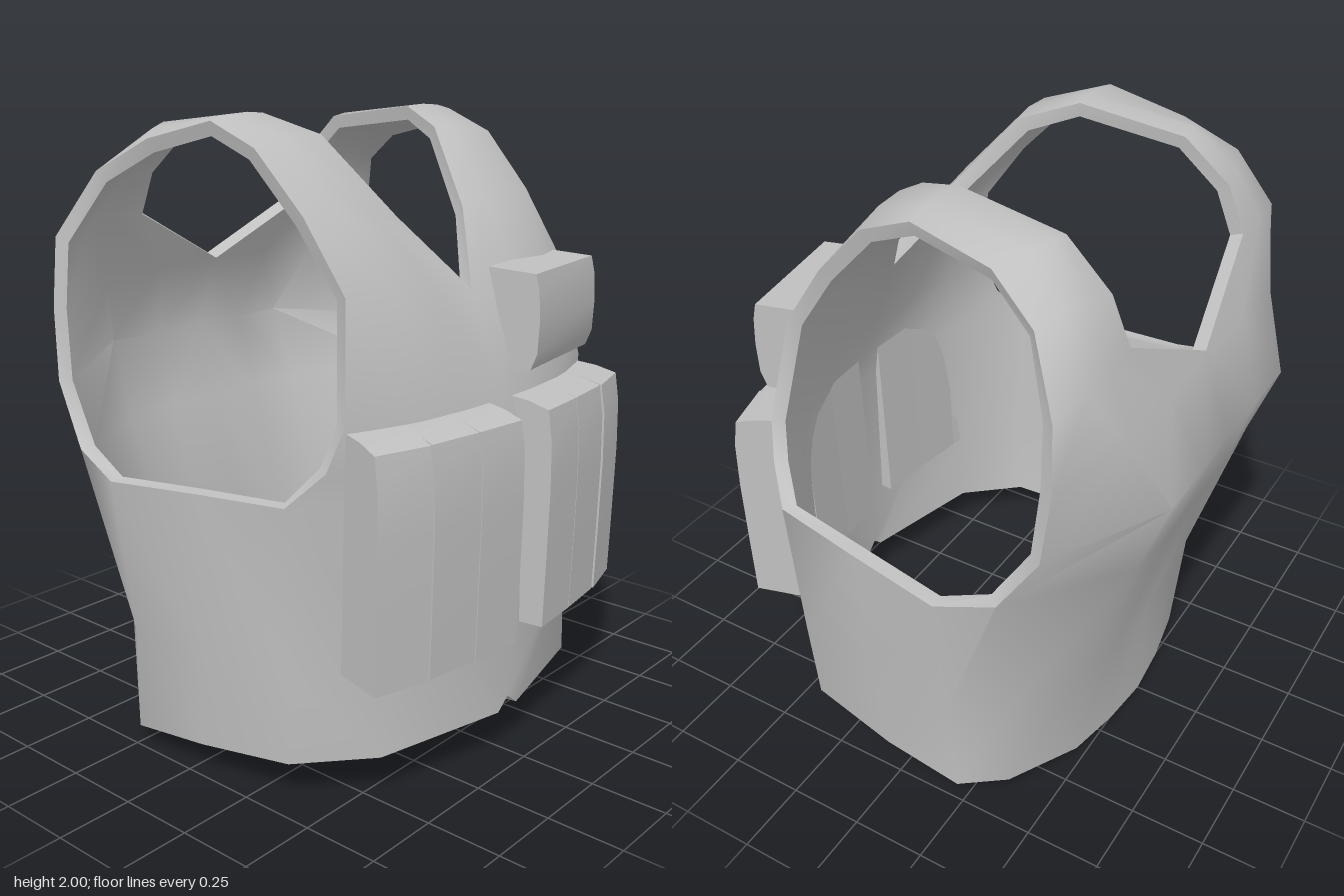
import * as THREE from 'three';
import { mergeVertices, toCreasedNormals } from 'three/addons/utils/BufferGeometryUtils.js';

const THICKNESS = 0.046;

// Torso wrap, each row runs from front centre round the side to back centre
const hem = [[0, .19, .68], [.05, .15, .68], [.5, .145, .57], [.69, .13, .37], [.74, .1, .05],
  [.75, .07, -.23], [.63, .045, -.355], [.37, .01, -.47], [.18, .005, -.505], [0, 0, -.52]];
const waist = [[0, .4, .68], [.22, .4, .66], [.48, .42, .575], [.7, .42, .39], [.765, .42, .08],
  [.765, .42, -.21], [.645, .41, -.37], [.39, .4, -.5], [.2, .4, -.525], [0, .4, -.53]];
const belt = [[0, .95, .67], [.22, .95, .65], [.46, .95, .585], [.73, .95, .405], [.785, .94, .1],
  [.83, .92, -.22], [.79, .975, -.41], [.42, .95, -.665], [.2, .95, -.68], [0, .95, -.68]];

// Front panel, shoulder strap and back panel, each row runs from neck to armhole
const bib = [
  belt.slice(0, 4),
  [[0, 1.08, .65], [.22, 1.08, .63], [.45, 1.07, .58], [.65, 1.05, .49]],
  [[0, 1.2, .61], [.22, 1.2, .6], [.43, 1.2, .575], [.605, 1.18, .52]],
  [[0, 1.48, .5], [.2, 1.5, .515], [.39, 1.52, .51], [.54, 1.52, .465]],
  [[.165, 1.7, .34], [.28, 1.72, .35], [.42, 1.73, .35], [.55, 1.73, .32]],
  [[.275, 1.935, .14], [.36, 1.94, .16], [.46, 1.935, .16], [.565, 1.91, .15]],
  [[.345, 1.995, -.03], [.42, 2, -.02], [.5, 1.995, -.02], [.57, 1.98, -.02]],
  [[.37, 1.95, -.38], [.43, 1.96, -.38], [.5, 1.945, -.35], [.585, 1.92, -.28]],
  [[.385, 1.82, -.53], [.47, 1.84, -.51], [.56, 1.84, -.485], [.65, 1.82, -.445]],
  [[.385, 1.675, -.59], [.5, 1.68, -.595], [.62, 1.66, -.588], [.735, 1.62, -.55]],
  [[0, 1.48, -.655], [.25, 1.47, -.665], [.5, 1.44, -.66], [.75, 1.4, -.56]],
  [[0, 1.21, -.752], [.2, 1.21, -.757], [.41, 1.21, -.76], [.765, 1.17, -.535]],
  belt.slice(6).reverse(),
];

// Turns the rows into a mirrored skin, then thickens it inwards and closes the rims
function shellGeometry(patches) {
  const skin = [];
  for (const side of [1, -1]) {
    const tri = (...pts) => {
      if (side < 0) pts.reverse();
      pts.forEach(([x, y, z]) => skin.push(x * side, y, z));
    };
    for (const rows of patches) {
      for (let r = 0; r + 1 < rows.length; r++) {
        for (let c = 0; c + 1 < rows[r].length; c++) {
          const a = rows[r][c], b = rows[r][c + 1], d = rows[r + 1][c], e = rows[r + 1][c + 1];
          tri(a, b, e);
          tri(a, e, d);
        }
      }
    }
  }
  let outer = new THREE.BufferGeometry();
  outer.setAttribute('position', new THREE.Float32BufferAttribute(skin, 3));
  outer = mergeVertices(outer, 1e-4);
  outer.computeVertexNormals();

  const pos = outer.attributes.position, nor = outer.attributes.normal, n = pos.count;
  const verts = [...pos.array];
  for (let i = 0; i < n * 3; i++) verts.push(pos.array[i] - nor.array[i] * THICKNESS);

  const src = outer.index.array, index = [...src], edges = new Set();
  for (let i = 0; i < src.length; i += 3) {
    index.push(src[i] + n, src[i + 2] + n, src[i + 1] + n);
    for (let k = 0; k < 3; k++) edges.add(src[i + k] * n + src[i + (k + 1) % 3]);
  }
  for (const key of edges) {
    const a = Math.floor(key / n), b = key % n;
    if (!edges.has(b * n + a)) index.push(b, a, a + n, b, a + n, b + n);
  }
  const geo = new THREE.BufferGeometry();
  geo.setAttribute('position', new THREE.Float32BufferAttribute(verts, 3));
  geo.setIndex(index);
  return toCreasedNormals(geo, 0.95);
}

// Extrudes a (depth, height) side profile across the given width, centred on x
function pouchGeometry(profile, width) {
  const shape = new THREE.Shape(profile.map(([d, y]) => new THREE.Vector2(-d, y)));
  const geo = new THREE.ExtrudeGeometry(shape, { depth: width, bevelEnabled: false });
  geo.translate(0, 0, -width / 2);
  geo.rotateY(Math.PI / 2);
  return toCreasedNormals(geo, 0.6);
}

export function createModel() {
  const model = new THREE.Group();
  model.name = 'vest';
  const fabric = new THREE.MeshStandardMaterial({ color: 0xc0c0c0 });
  fabric.name = 'light grey fabric';

  const add = (name, geometry, parent = model) => {
    const mesh = new THREE.Mesh(geometry, fabric);
    mesh.name = name;
    parent.add(mesh);
    return mesh;
  };

  add('vestShell', shellGeometry([[hem, waist, belt], bib]));

  // Two rows of three tall pouches, fanned round the belly; depth 0 is the front face
  const tall = pouchGeometry([[-.178, 0], [-.005, 0], [0, .2], [.005, .45], [.002, .61],
    [-.012, .705], [-.08, .725], [-.155, .735]], .187);
  const places = [[.161, .75, .1], [.35, .727, .14], [.542, .69, .28]];
  for (const side of [1, -1]) {
    const row = new THREE.Group();
    row.name = side > 0 ? 'leftPouchRow' : 'rightPouchRow';
    row.position.x = side > 0 ? 0 : -.01;
    model.add(row);
    places.forEach(([x, z, yaw], i) => {
      const pouch = add(`tallPouch${i + 1}`, tall, row);
      pouch.position.set(x * side, .425, z);
      pouch.rotation.y = yaw * side;
    });
  }

  // Small wide pouch on the left chest, its back following the slope of the panel
  const chest = add('chestPouch', pouchGeometry([[-.09, 0], [-.02, 0], [0, .05], [.005, .15],
    [0, .24], [-.012, .295], [-.17, .305]], .44));
  chest.position.set(.318, 1.235, .642);
  chest.rotation.y = .16;

  return model;
}
